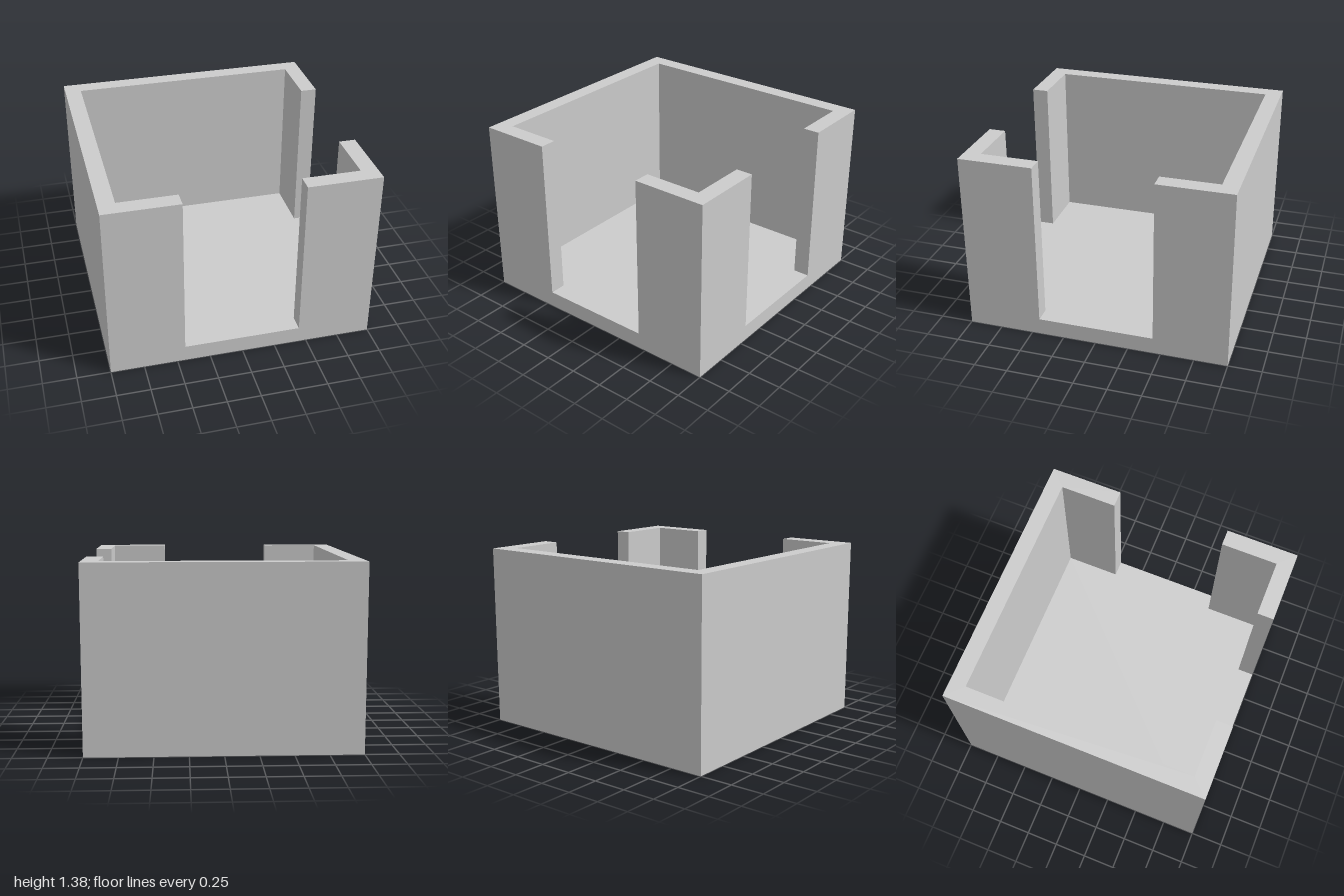
import * as THREE from 'three';

const HALF = 1;          // half of the outer width and depth
const INNER = 0.875;     // inner face of the walls
const GAP = 0.44;        // half width of each opening
const FLOOR = 0.125;     // floor thickness
const HEIGHT = 1.375;    // total height

const material = new THREE.MeshStandardMaterial({ color: 0xcccccc, flatShading: true });

// Raises a floor plan, given as [x, z] corners, from the floor to the wall top.
function wall(name, plan) {
  const shape = new THREE.Shape(plan.map(([x, z]) => new THREE.Vector2(x, -z)));
  const geometry = new THREE.ExtrudeGeometry(shape, { depth: HEIGHT - FLOOR, bevelEnabled: false });
  geometry.rotateX(-Math.PI / 2);
  const mesh = new THREE.Mesh(geometry, material);
  mesh.name = name;
  mesh.position.y = FLOOR;
  return mesh;
}

export function createModel() {
  const model = new THREE.Group();
  model.name = 'openCornerRoom';

  // Square floor slab
  const floor = new THREE.Mesh(new THREE.BoxGeometry(2 * HALF, FLOOR, 2 * HALF), material);
  floor.name = 'floor';
  floor.position.y = FLOOR / 2;
  model.add(floor);

  // Closed back and right walls, each returning round the corner to an opening
  model.add(wall('mainWalls', [
    [-GAP, HALF], [-GAP, INNER], [-INNER, INNER], [-INNER, -INNER], [INNER, -INNER],
    [INNER, -GAP], [HALF, -GAP], [HALF, -HALF], [-HALF, -HALF], [-HALF, HALF],
  ]));

  // Free-standing corner between the front and left openings
  model.add(wall('cornerPost', [
    [GAP, HALF], [HALF, HALF], [HALF, GAP], [INNER, GAP], [INNER, INNER], [GAP, INNER],
  ]));

  return model;
}
